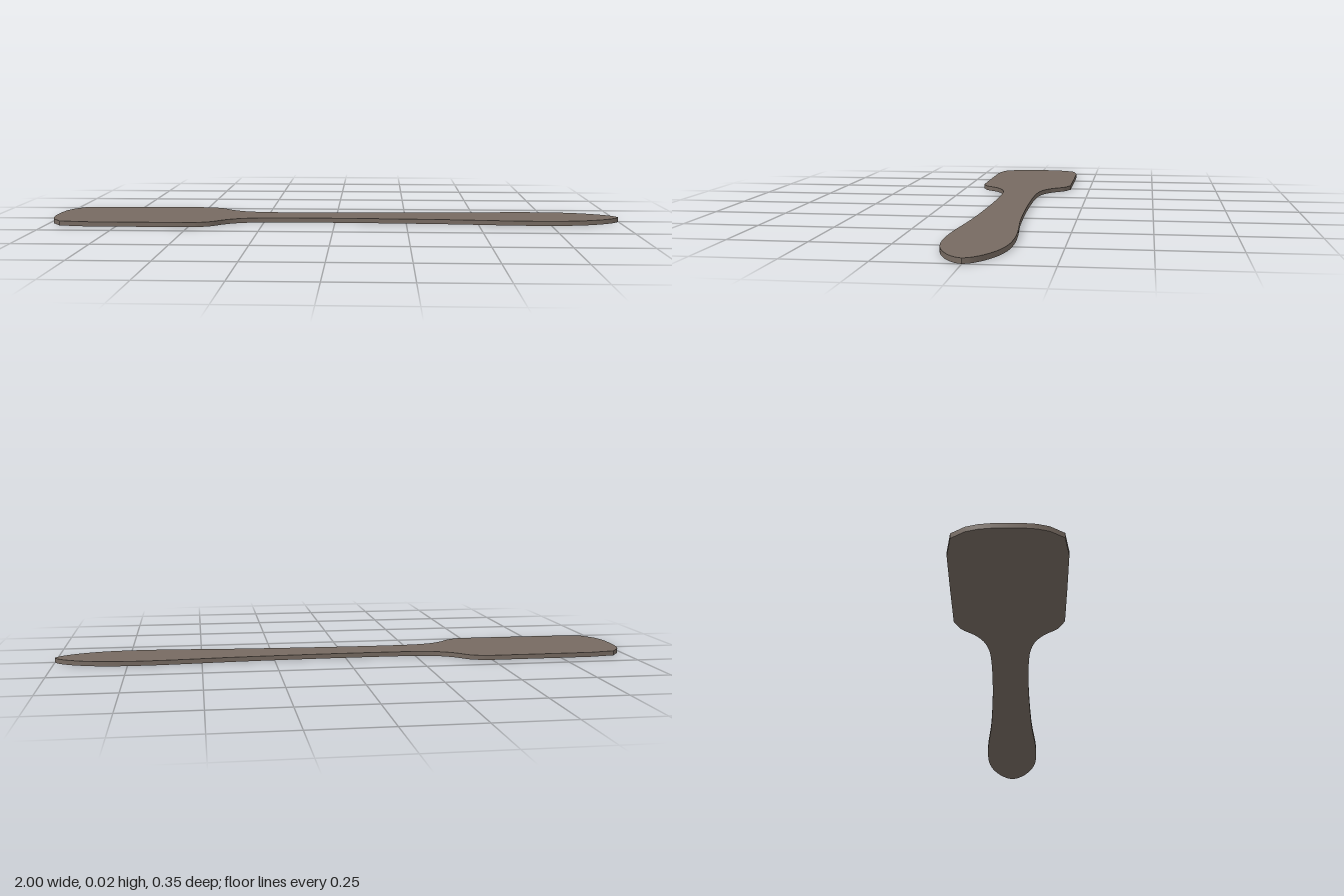
import * as THREE from 'three';
import { toCreasedNormals } from 'three/addons/utils/BufferGeometryUtils.js';

const THICKNESS = 0.016;

// Half outline from blade tip to handle end: [x, half width]
const bladeHalf = [
  [-1, 0], [-0.999, 0.04], [-0.994, 0.08], [-0.982, 0.115], [-0.95, 0.157], [-0.86, 0.172], [-0.68, 0.174],
];
const neckAndHandle = [
  [-0.475, 0.175], [-0.425, 0.154], [-0.385, 0.114], [-0.34, 0.086], [-0.28, 0.07], [-0.2, 0.064],
  [0, 0.064], [0.2, 0.07], [0.4, 0.08], [0.6, 0.097], [0.7, 0.101], [0.8, 0.097],
  [0.88, 0.081], [0.95, 0.051], [0.987, 0.022], [1, 0],
];

export function createModel() {
  const group = new THREE.Group();
  group.name = 'spatula';

  // Straight-edged blade, then a smooth curve through neck and handle
  const curve = new THREE.CatmullRomCurve3(neckAndHandle.map(([x, w]) => new THREE.Vector3(x, w, 0)));
  const half = [
    ...bladeHalf.map(([x, w]) => new THREE.Vector2(x, w)),
    ...curve.getPoints(60).map((p) => new THREE.Vector2(p.x, p.y)),
  ];

  // Mirror across the long axis, leaving out the two shared end points
  const mirrored = half.slice(1, -1).reverse().map((p) => new THREE.Vector2(p.x, -p.y));
  const shape = new THREE.Shape([...half, ...mirrored]);

  // Flat plate lying on the ground
  const plate = new THREE.ExtrudeGeometry(shape, { depth: THICKNESS, bevelEnabled: false });
  plate.rotateX(-Math.PI / 2);

  const body = new THREE.Mesh(
    toCreasedNormals(plate, 0.6),
    new THREE.MeshStandardMaterial({ color: 0x766a61 }),
  );
  body.name = 'bladeAndHandle';
  group.add(body);
  return group;
}
